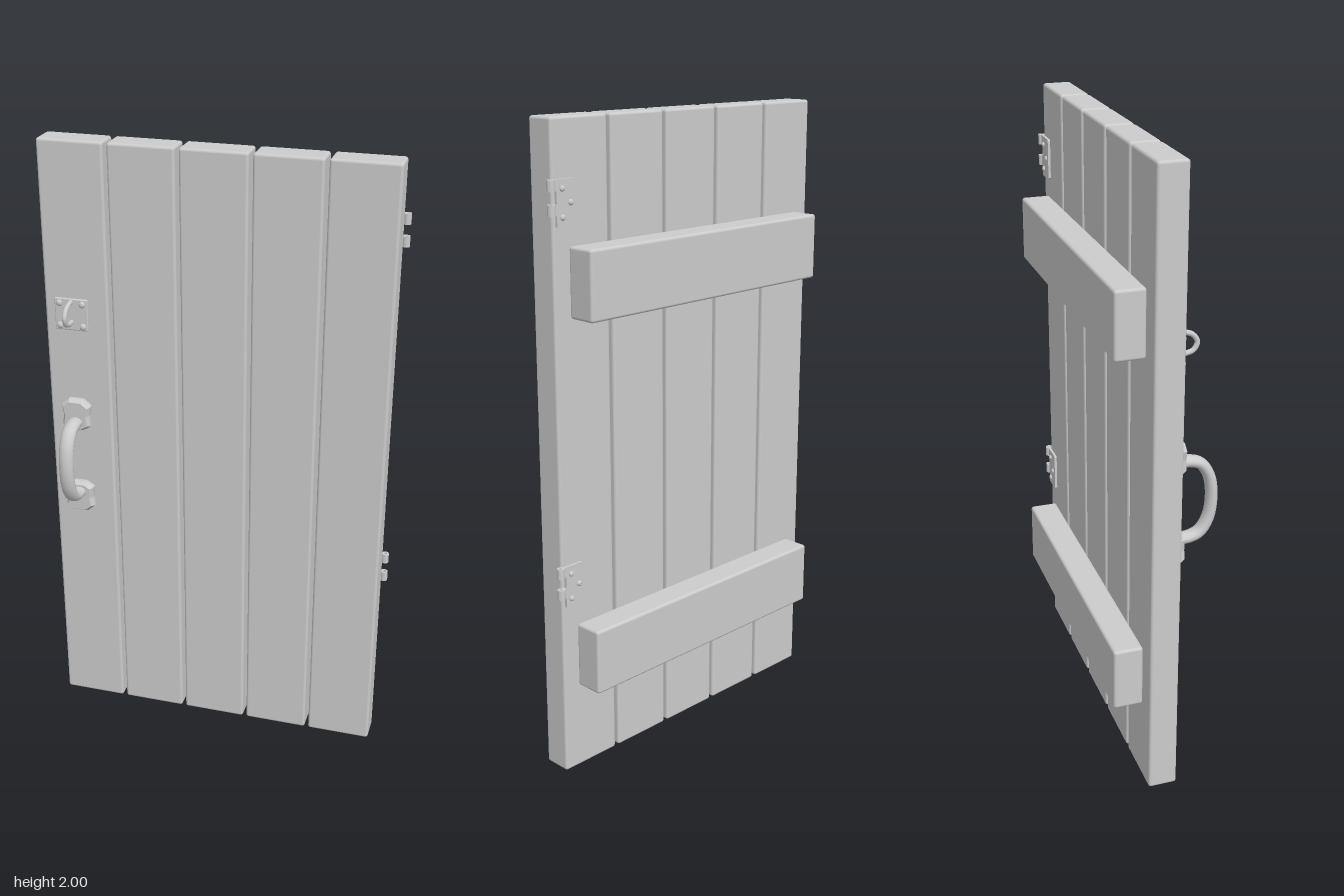
import * as THREE from 'three';
import { RoundedBoxGeometry } from 'three/addons/geometries/RoundedBoxGeometry.js';

const material = new THREE.MeshStandardMaterial({ color: 0xcccccc });

function add(parent, name, geometry, x = 0, y = 0, z = 0) {
  const mesh = new THREE.Mesh(geometry, material);
  mesh.name = name;
  mesh.position.set(x, y, z);
  parent.add(mesh);
  return mesh;
}

function group(parent, name, x, y, z) {
  const g = new THREE.Group();
  g.name = name;
  g.position.set(x, y, z);
  parent.add(g);
  return g;
}

function shapeOf(points) {
  return new THREE.Shape(points.map(([x, y]) => new THREE.Vector2(x, y)));
}

// Domed rivet, flattened along z
function rivet(parent, x, y, z, r = 0.009) {
  add(parent, 'rivet', new THREE.SphereGeometry(r, 12, 8), x, y, z).scale.z = 0.7;
}

function addHinge(door, y) {
  const hinge = group(door, 'hinge', 0, y, -0.075);
  // Leaf with two tabs reaching out to the knuckles
  const leaf = shapeOf([
    [0.46, -0.06], [0.465, -0.065], [0.53, -0.065], [0.53, -0.034], [0.545, -0.034],
    [0.545, -0.002], [0.53, -0.002], [0.53, 0.034], [0.545, 0.034], [0.545, 0.066],
    [0.465, 0.066], [0.46, 0.061],
  ]);
  add(hinge, 'hingeLeaf', new THREE.ExtrudeGeometry(leaf, { depth: 0.008, bevelEnabled: false }), 0, 0, -0.004);
  // Hollow knuckles
  const ring = new THREE.Shape().absarc(0, 0, 0.012, 0, Math.PI * 2);
  ring.holes.push(new THREE.Path().absarc(0, 0, 0.006, 0, Math.PI * 2, true));
  for (const ky of [-0.034, 0.034]) {
    const geo = new THREE.ExtrudeGeometry(ring, { depth: 0.032, bevelEnabled: false, curveSegments: 8 });
    add(hinge, 'hingeKnuckle', geo.rotateX(-Math.PI / 2), 0.547, ky, 0);
  }
  for (const [rx, ry] of [[0.51, 0.04], [0.51, -0.04], [0.48, 0]]) rivet(hinge, rx, ry, -0.005);
}

function addHandle(door) {
  const handle = group(door, 'handle', -0.467, 0.963, 0.022);
  // Chamfered mounting plates, mirrored top and bottom
  const half = [[0.02, 0.045], [0.04, 0.028], [0.035, 0], [0.038, -0.034], [0.018, -0.046]];
  const outline = [...half, ...half.map(([x, y]) => [-x, y]).reverse()];
  for (const s of [1, -1]) {
    const plate = shapeOf(outline.map(([x, y]) => [x, y * s]));
    const geo = new THREE.ExtrudeGeometry(plate, {
      depth: 0.012, bevelThickness: 0.014, bevelSize: 0.009, bevelSegments: 1,
    });
    add(handle, 'handlePlate', geo, 0, 0.15 * s, 0.004);
  }
  // Bowed grip, wider than it is deep
  const path = new THREE.CatmullRomCurve3([
    [0.127, 0.015], [0.126, 0.055], [0.113, 0.088], [0.07, 0.115], [0, 0.125],
    [-0.07, 0.115], [-0.113, 0.088], [-0.126, 0.055], [-0.127, 0.015],
  ].map(([y, z]) => new THREE.Vector3(0, y, z)));
  add(handle, 'handleGrip', new THREE.TubeGeometry(path, 40, 0.018, 16)).scale.x = 1.35;
}

function addStaple(door) {
  const staple = group(door, 'hasp', -0.47, 1.453, 0.022);
  add(staple, 'haspPlate', new RoundedBoxGeometry(0.11, 0.105, 0.01, 2, 0.004), 0, 0, 0.004);
  for (const x of [-0.038, 0.038]) for (const y of [-0.037, 0.037]) rivet(staple, x, y, 0.01, 0.011);
  // Wire loop standing out of the plate
  const path = new THREE.CatmullRomCurve3([
    [0.042, 0.002], [0.04, 0.025], [0.03, 0.052], [0.007, 0.066],
    [-0.016, 0.055], [-0.024, 0.03], [-0.024, 0.002],
  ].map(([y, z]) => new THREE.Vector3(0, y, z)));
  add(staple, 'haspLoop', new THREE.TubeGeometry(path, 30, 0.008, 10));
}

export function createModel() {
  const door = new THREE.Group();
  door.name = 'plankDoor';

  // Five upright planks with narrow gaps
  for (let i = 0; i < 5; i++) {
    add(door, 'plank', new RoundedBoxGeometry(0.21, 2, 0.092, 3, 0.009), -0.455 + i * 0.2225, 1, -0.024);
  }
  // Two cross battens on the back
  for (const y of [1.54, 0.385]) {
    add(door, 'batten', new RoundedBoxGeometry(0.982, 0.208, 0.094, 3, 0.009), -0.006, y, -0.118);
  }
  for (const y of [1.767, 0.623]) addHinge(door, y);
  addHandle(door);
  addStaple(door);
  return door;
}
